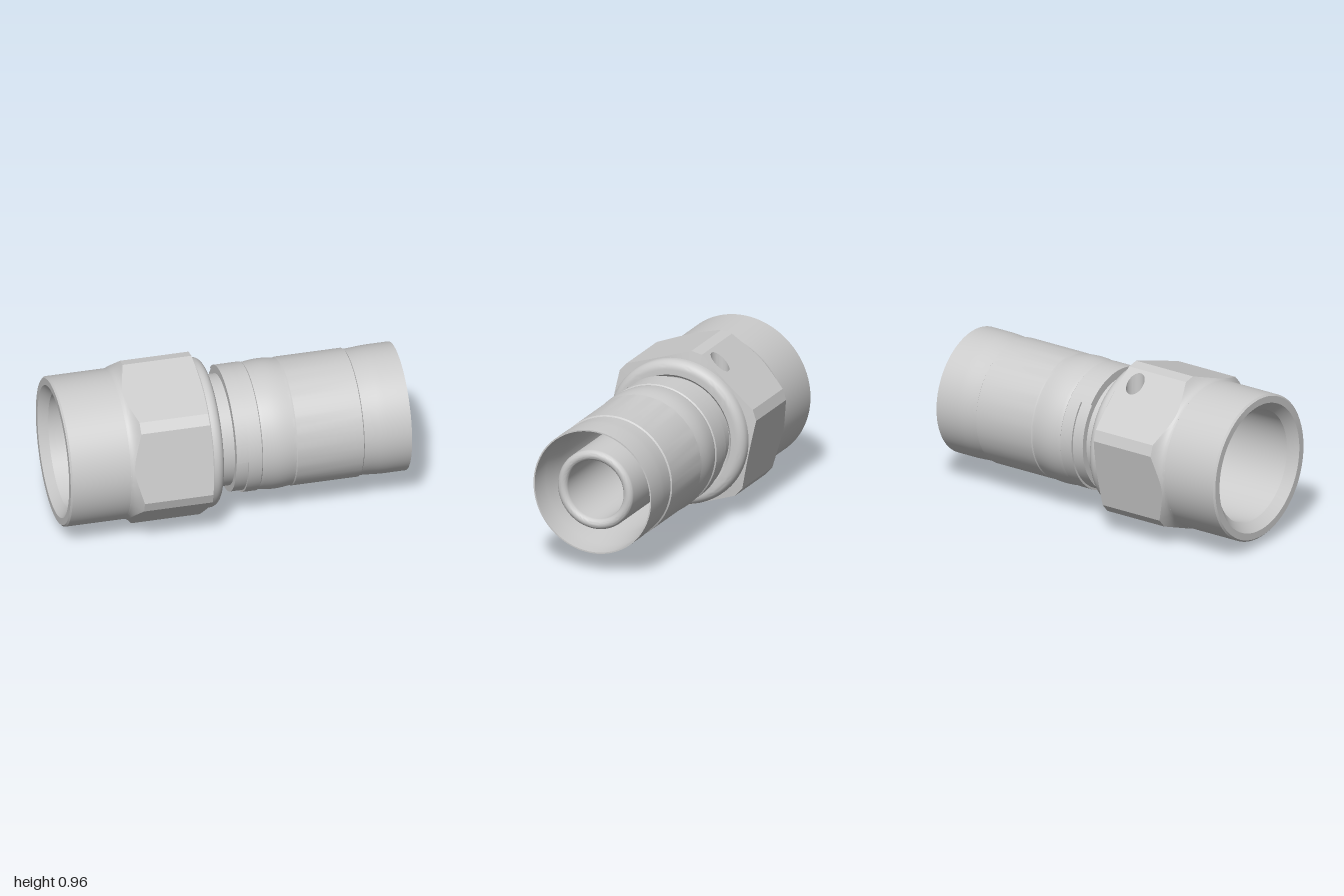
import * as THREE from 'three';
import { toCreasedNormals } from 'three/addons/utils/BufferGeometryUtils.js';

const RAD = Math.PI / 180;
const mat = new THREE.MeshStandardMaterial({ color: 0xcccccc });
const matDouble = new THREE.MeshStandardMaterial({ color: 0xcccccc, side: THREE.DoubleSide });

// Hexagon with cut corners; angles run from +y towards -z
const BODY = 0.43, CORNER = 0.485, TURN = 11.7, CUT = 3.95;
const FLAT = CORNER * Math.cos((30 - CUT) * RAD);
const PANEL_X0 = -0.5, PANEL_X1 = -0.19;

function hexRadius(deg) {
  const d = Math.abs(((deg - TURN + 390) % 60) - 30);
  return d <= CUT + 1e-6
    ? CORNER * Math.cos(CUT * RAD) / Math.cos(d * RAD)
    : FLAT / Math.cos((30 - d) * RAD);
}

function mesh(name, geometry, material = mat) {
  const m = new THREE.Mesh(geometry, material);
  m.name = name;
  return m;
}

// Revolve [x, radius] points about the x axis
function turned(name, points, start = 0, length = Math.PI * 2, material = mat) {
  const g = new THREE.LatheGeometry(points.map(([x, r]) => new THREE.Vector2(r, x)), 96, start, length);
  g.rotateZ(-Math.PI / 2);
  return mesh(name, toCreasedNormals(g, 0.45), material);
}

function arc(cx, cr, rad, from, to, n = 8) {
  return Array.from({ length: n + 1 }, (_, i) => {
    const a = (from + (to - from) * i / n) * RAD;
    return [cx + rad * Math.cos(a), cr + rad * Math.sin(a)];
  });
}

function fromTriangles(pos) {
  const g = new THREE.BufferGeometry();
  g.setAttribute('position', new THREE.Float32BufferAttribute(pos, 3));
  return g;
}

// Hexagon section: lines along x at each angle, trimmed by the turned ends
function hexGeometry() {
  const angles = [];
  for (let k = 0; k < 6; k++) {
    const c = TURN + 60 * k;
    angles.push(c - CUT, c);
    for (let i = 0; i < 20; i++) angles.push(c + CUT + (60 - 2 * CUT) * i / 20);
  }
  angles.push(TURN + 360 - CUT);
  const lines = angles.map((deg) => {
    const R = hexRadius(deg), line = [];
    for (let j = 0; j <= 6; j++) {
      const r = BODY + (R - BODY) * (j / 6) ** 2;
      line.push([-0.65 + 0.07 * Math.sqrt((r - BODY) / (CORNER - BODY)), r]);
    }
    line.push([PANEL_X0, R], [PANEL_X1, R], [-0.17 - (R - BODY) * 0.2, R], [-0.17, 0.42]);
    return line.map(([x, r]) => [x, r * Math.cos(deg * RAD), -r * Math.sin(deg * RAD)]);
  });
  const pos = [];
  for (let i = 0; i < lines.length - 1; i++) {
    for (let j = 0; j < lines[i].length - 1; j++) {
      // the drilled flat is filled by its own panel
      if (j === 7 && i >= 2 && i < 22) continue;
      const a = lines[i][j], b = lines[i][j + 1], c = lines[i + 1][j + 1], d = lines[i + 1][j];
      pos.push(...a, ...b, ...c, ...a, ...c, ...d);
    }
  }
  return toCreasedNormals(fromTriangles(pos), 0.35);
}

// Flat panel with a hole drilled straight down through it
function drilledFlat() {
  const group = new THREE.Group();
  group.name = 'drilledFlat';
  const a = (TURN + 30) * RAD;
  const n = new THREE.Vector3(0, Math.cos(a), -Math.sin(a));
  const t = new THREE.Vector3(0, -Math.sin(a), -Math.cos(a));
  const half = FLAT * Math.tan((30 - CUT) * RAD);
  const hx = -0.275, hz = -0.2, hr = 0.053;
  const hs = (-hz - FLAT * Math.sin(a)) / Math.cos(a);

  const shape = new THREE.Shape();
  shape.moveTo(PANEL_X0, -half).lineTo(PANEL_X1, -half).lineTo(PANEL_X1, half).lineTo(PANEL_X0, half).closePath();
  const hole = new THREE.Path();
  hole.absellipse(hx, hs, hr, hr / Math.cos(a), 0, Math.PI * 2, true);
  shape.holes.push(hole);
  const panel = new THREE.ShapeGeometry(shape, 24);
  panel.applyMatrix4(new THREE.Matrix4()
    .makeBasis(new THREE.Vector3(1, 0, 0), t, n)
    .setPosition(n.clone().multiplyScalar(FLAT)));
  group.add(mesh('flatPanel', panel));

  // hole wall and floor, the wall's top following the sloping flat
  const pos = [], floor = 0.29;
  const rim = (i) => {
    const u = i / 40 * Math.PI * 2;
    const x = hx + hr * Math.cos(u), z = hz + hr * Math.sin(u);
    return [[x, (FLAT + z * Math.sin(a)) / Math.cos(a), z], [x, floor, z]];
  };
  for (let i = 0; i < 40; i++) {
    const [p, q] = rim(i), [r, s] = rim(i + 1);
    pos.push(...p, ...r, ...s, ...p, ...s, ...q, ...q, ...s, hx, floor, hz);
  }
  group.add(mesh('wireHole', toCreasedNormals(fromTriangles(pos), 0.5), matDouble));
  return group;
}

export function createModel() {
  const model = new THREE.Group();
  const fitting = new THREE.Group();
  fitting.name = 'hoseFitting';
  fitting.position.y = 0.482;
  model.add(fitting);

  // swivel nut
  const nut = new THREE.Group();
  nut.name = 'nut';
  nut.add(
    turned('nutBarrel', [
      [-0.35, 0.175], [-0.35, 0.33], [-0.95, 0.33], [-1, 0.38], [-1, 0.42], [-0.99, BODY], [-0.65, BODY],
    ]),
    mesh('nutHexagon', hexGeometry()),
    drilledFlat(),
    turned('nutCollar', [
      [-0.17, 0.42], [-0.165, BODY], ...arc(-0.15, BODY - 0.05, 0.05, 90, 0),
      [-0.1, 0.35], [-0.115, 0.335], [-0.14, 0.335], [-0.14, 0.3],
    ]),
  );
  fitting.add(nut);

  // neck between nut and sleeve
  fitting.add(turned('neck', [[-0.16, 0.32], [-0.01, 0.32]]));

  // crimped sleeve with its open mouth
  const bulge = Array.from({ length: 13 }, (_, i) => [
    0.14 + 0.19 * i / 12, 0.363 + 0.009 * Math.sin(Math.PI * i / 12),
  ]);
  fitting.add(
    turned('sleeve', [
      [-0.02, 0.3], [-0.02, 0.356], [0.05, 0.356], [0.05, 0.368], [0.128, 0.368], [0.134, 0.361],
      ...bulge, [0.336, 0.368], [0.72, 0.368], [0.726, 0.36], [0.77, 0.362], [0.82, 0.366], [0.86, 0.368],
      [1, 0.368], [1, 0.36], [0.86, 0.357], [0.72, 0.33], [0.1, 0.33], [0.1, 0.22],
    ]),
    turned('sleeveTab', [[-0.02, 0.35], [-0.02, 0.368], [0.05, 0.368]], -139 * RAD, 139 * RAD, matDouble),
  );

  // inner tube with a rounded tip and through bore
  fitting.add(turned('innerTube', [
    [0.1, 0.235], ...arc(0.95, 0.205, 0.03, 90, -90, 14), [-0.35, 0.175],
  ]));
  return model;
}
